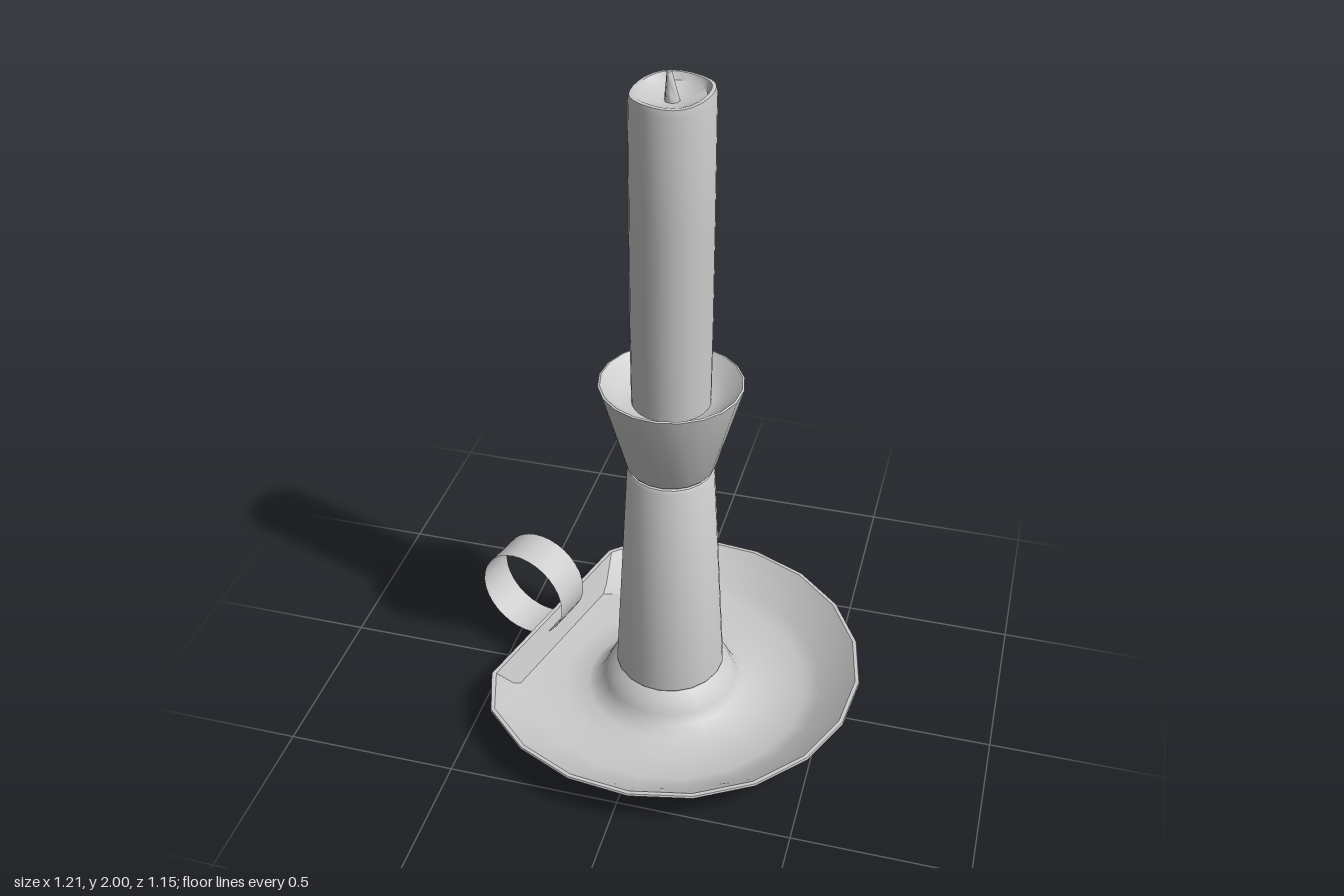
import * as THREE from 'three';
import { toCreasedNormals } from 'three/addons/utils/BufferGeometryUtils.js';

const AXIS_X = 0.025; // the turned parts share this axis
const rad = THREE.MathUtils.degToRad;
const material = new THREE.MeshStandardMaterial({ color: 0xcccccc, side: THREE.DoubleSide });

// Turned part from [radius, y] pairs; reshape(v, row) may move each vertex
function turned(name, profile, sides, reshape, crease = 32) {
  const points = profile.map(([r, y]) => new THREE.Vector2(r, y));
  const geometry = new THREE.LatheGeometry(points, sides, rad(3));
  if (reshape) {
    const pos = geometry.attributes.position;
    const v = new THREE.Vector3();
    for (let i = 0; i < pos.count; i++) {
      v.fromBufferAttribute(pos, i);
      reshape(v, i % profile.length);
      pos.setXYZ(i, v.x, v.y, v.z);
    }
  }
  const mesh = new THREE.Mesh(toCreasedNormals(geometry, rad(crease)), material);
  mesh.name = name;
  mesh.position.x = AXIS_X;
  return mesh;
}

export function createModel() {
  const group = new THREE.Group();
  group.name = 'candlestick';

  // Dish: hollow underside, flared wall, raised collar; one side is cut straight
  const cut = new THREE.Vector3(Math.cos(rad(195)), 0, -Math.sin(rad(15)));
  const dishProfile = [
    [0.14, 0.11], [0.155, 0.085], [0.185, 0.06], [0.2, 0.03], [0.21, 0], [0.44, 0],
    [0.575, 0.12], [0.573, 0.126], [0.562, 0.126],
    [0.46, 0.045], [0.41, 0.022], [0.32, 0.018], [0.25, 0.022],
    [0.217, 0.04], [0.2, 0.07], [0.185, 0.1], [0.155, 0.125],
  ];
  group.add(turned('dish', dishProfile, 20, (v, row) => {
    const r = Math.hypot(v.x, v.z);
    const along = v.x * cut.x + v.z * cut.z;
    if (r < 0.4 || along / r < 0.8) return;
    const target = 0.397 + 0.2 * v.y - (row > 7 ? 0.012 : 0);
    v.addScaledVector(cut, target - along);
  }, 35));

  // Tapered stem with a narrow neck
  group.add(turned('stem', [
    [0, 0.122], [0.155, 0.122], [0.161, 0.132], [0.124, 0.825], [0.119, 0.834], [0.11, 0.836], [0.11, 0.85],
  ], 20));

  // Flared cup holding the candle
  group.add(turned('cup', [
    [0, 0.842], [0.12, 0.842], [0.126, 0.85], [0.2, 1.113], [0.194, 1.115], [0.15, 1.075], [0.11, 1.055], [0, 1.055],
  ], 20));

  // Candle with an uneven, hollowed top and a faint wax ridge at the back
  group.add(turned('candle', [
    [0.109, 1.05], [0.111, 1.3], [0.111, 1.6], [0.11, 1.935], [0.106, 1.953], [0.096, 1.954],
    [0.085, 1.943], [0.04, 1.928], [0, 1.924],
  ], 28, (v, row) => {
    const a = Math.atan2(v.z, v.x);
    const ridge = Math.max(0, Math.cos(a + rad(70))) ** 12;
    if (row === 2 || row === 3) {
      v.x *= 1 + 0.03 * ridge;
      v.z *= 1 + 0.03 * ridge;
    }
    if (row > 2 && row < 6) v.y += 0.009 * Math.cos(a + rad(50)) + 0.004 * Math.cos(3 * a);
  }, 40));

  // Wick, leaning slightly toward the tip
  group.add(turned('wick', [[0.021, 1.92], [0.016, 1.95], [0.011, 1.975], [0.007, 2], [0, 2]], 8, (v) => {
    v.x -= (v.y - 1.92) * 0.1;
  }, 50));

  // Thin ring handle fixed to the cut side
  const ring = new THREE.CylinderGeometry(0.144, 0.144, 0.124, 32, 1, true).rotateX(Math.PI / 2);
  const handle = new THREE.Mesh(ring, material);
  handle.name = 'handle';
  handle.position.set(-0.452, 0.197, -0.132);
  handle.rotation.y = -rad(15);
  group.add(handle);

  return group;
}
